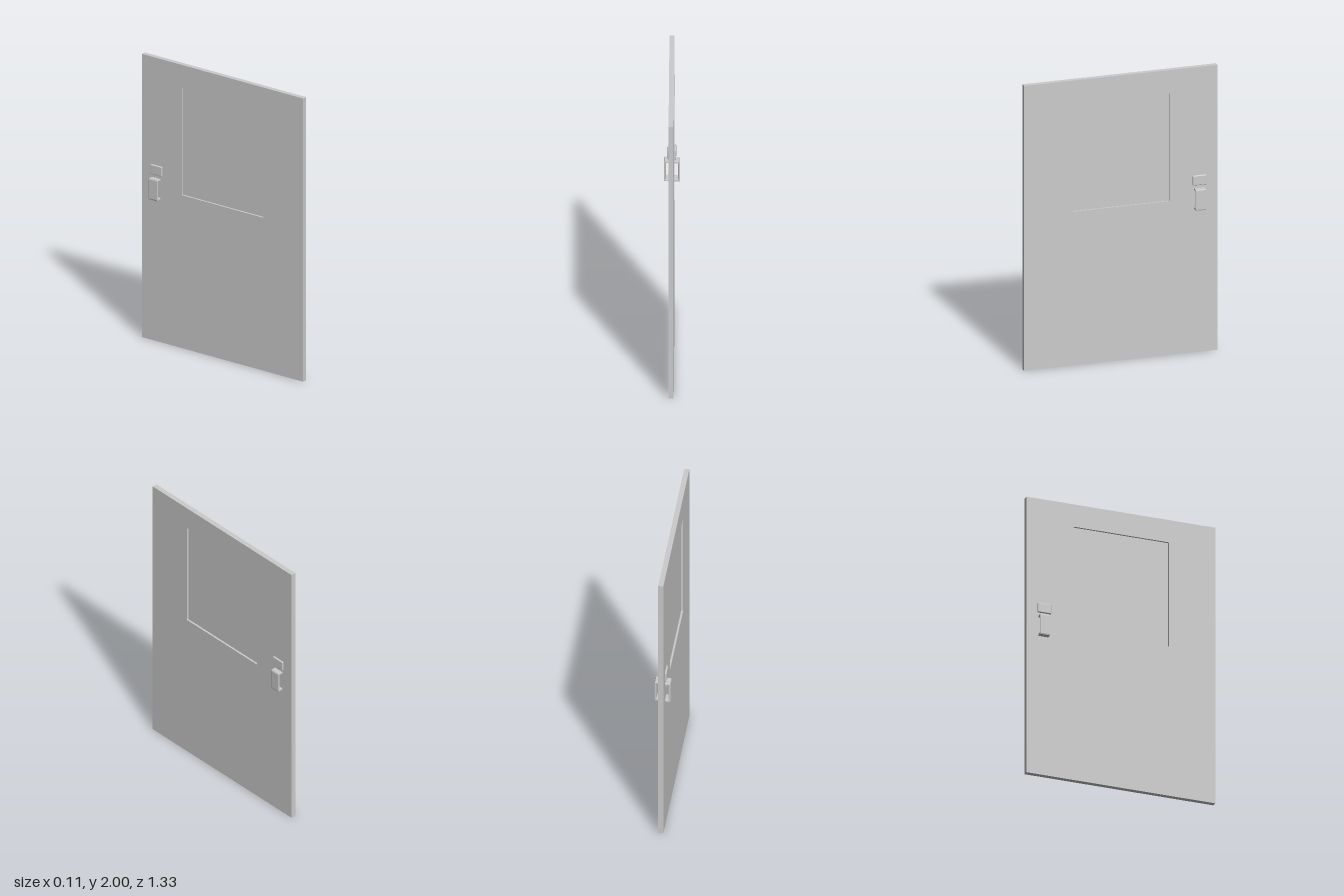
import * as THREE from 'three';
import { RoundedBoxGeometry } from 'three/addons/geometries/RoundedBoxGeometry.js';

const T = 0.034; // door thickness

// rectangle outline with small rounded corners
function rectPath(path, x0, y0, x1, y1, r) {
  path.moveTo(x0 + r, y0);
  path.lineTo(x1 - r, y0);
  path.quadraticCurveTo(x1, y0, x1, y0 + r);
  path.lineTo(x1, y1 - r);
  path.quadraticCurveTo(x1, y1, x1 - r, y1);
  path.lineTo(x0 + r, y1);
  path.quadraticCurveTo(x0, y1, x0, y1 - r);
  path.lineTo(x0, y0 + r);
  path.quadraticCurveTo(x0, y0, x0 + r, y0);
  return path;
}

export function createModel() {
  const group = new THREE.Group();
  const material = new THREE.MeshStandardMaterial({ color: 0xcccccc });
  const add = (name, geometry, x = 0, y = 0, z = 0) => {
    const mesh = new THREE.Mesh(geometry, material);
    mesh.name = name;
    mesh.position.set(x, y, z);
    group.add(mesh);
    return mesh;
  };

  // door leaf with window opening; shape x maps to -z
  const leaf = new THREE.Shape([
    new THREE.Vector2(-0.666, 0), new THREE.Vector2(0.666, 0),
    new THREE.Vector2(0.666, 2), new THREE.Vector2(-0.666, 2),
  ]);
  leaf.holes.push(rectPath(new THREE.Path(), -0.338, 1.08, 0.335, 1.838, 0.006));
  const leafGeometry = new THREE.ExtrudeGeometry(leaf, { depth: T, bevelEnabled: false, curveSegments: 4 });
  leafGeometry.translate(0, 0, -T / 2);
  leafGeometry.rotateY(Math.PI / 2);
  add('doorLeaf', leafGeometry);

  // thin pane set in the middle of the opening
  add('windowPane', new THREE.BoxGeometry(0.008, 0.77, 0.685), 0, 1.459, 0.0015);

  // bracket-shaped pull: two arms and a grip, with softened edges
  const b = 0.003;
  const pull = new THREE.Shape();
  pull.moveTo(0.014, 1.004 + b);
  pull.lineTo(0.048, 1.004 + b);
  pull.lineTo(0.053 - b, 1.009 + b);
  pull.lineTo(0.053 - b, 1.147 - b);
  pull.lineTo(0.048, 1.152 - b);
  pull.lineTo(0.014, 1.152 - b);
  pull.lineTo(0.014, 1.137 + b);
  pull.lineTo(0.041 + b, 1.137 + b);
  pull.lineTo(0.041 + b, 1.019 - b);
  pull.lineTo(0.014, 1.019 - b);
  pull.closePath();
  const pullGeometry = new THREE.ExtrudeGeometry(pull, {
    depth: 0.071 - 2 * b, bevelThickness: b, bevelSize: b, bevelSegments: 2,
  });
  pullGeometry.translate(0, 0, -0.0355 + b);

  // one pull and one lock cover on each face
  for (const [side, s, z] of [['left', 1, -0.5415], ['right', -1, -0.5475]]) {
    const geometry = pullGeometry.clone();
    if (s < 0) geometry.rotateY(Math.PI);
    add(side + 'Handle', geometry, 0, 0, z);
    add(side + 'LockCover', new RoundedBoxGeometry(0.028, 0.069, 0.095, 3, 0.006), s * 0.014, 1.2075, -0.5415);
  }
  return group;
}
